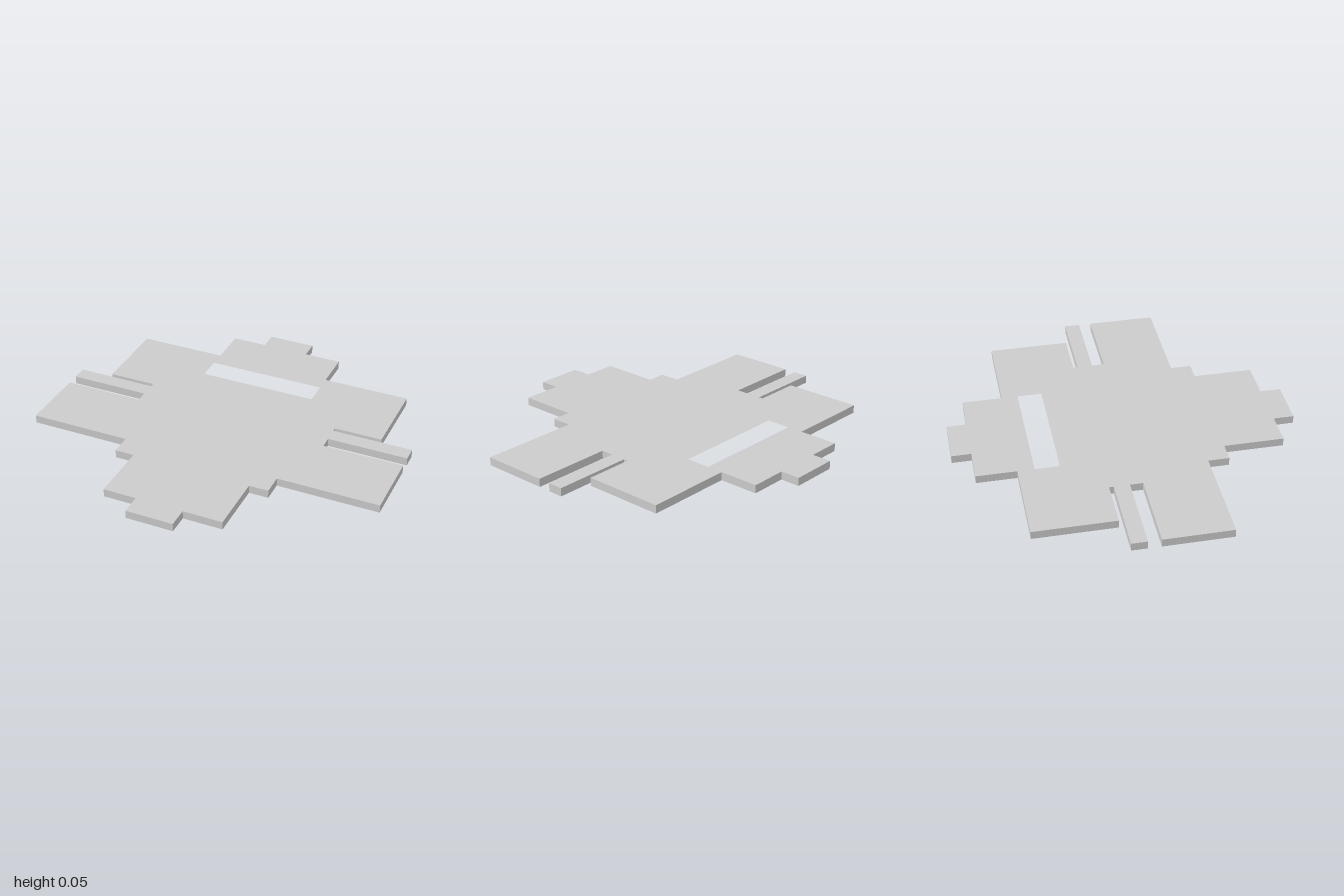
import * as THREE from 'three';

const THICKNESS = 0.045;

export function createModel() {
  const model = new THREE.Group();
  model.name = 'slottedPanel';

  // One side of the symmetric outline as [x, z], from back to front
  const side = [
    [0.333, -0.835], [0.333, -0.615], [0.82, -0.615], [0.82, -0.17],
    // narrow slot, finger, wide slot
    [0.555, -0.17], [0.555, -0.145], [1, -0.145], [1, -0.06],
    [0.555, -0.06], [0.555, 0.01],
    // front wing, step and nose
    [1, 0.01], [1, 0.385], [0.44, 0.385], [0.44, 0.5],
    [0.333, 0.5], [0.333, 0.83],
  ];
  // End tabs sit slightly off centre
  const frontTab = [[0.115, 0.83], [0.115, 0.943], [-0.148, 0.943], [-0.148, 0.83]];
  const backTab = [[-0.14, -0.835], [-0.14, -0.943], [0.125, -0.943], [0.125, -0.835]];
  const mirrored = side.map(([x, z]) => [-x, z]).reverse();

  const toPoints = (list) => list.map(([x, z]) => new THREE.Vector2(x, -z));
  const shape = new THREE.Shape(toPoints([...side, ...frontTab, ...mirrored, ...backTab]));

  // Rectangular window near the back
  shape.holes.push(new THREE.Path(toPoints([
    [-0.333, -0.525], [0.333, -0.525], [0.333, -0.39], [-0.333, -0.39],
  ])));

  // Extrude the outline and lay it flat on the ground
  const geometry = new THREE.ExtrudeGeometry(shape, { depth: THICKNESS, bevelEnabled: false });
  geometry.rotateX(-Math.PI / 2);

  const panel = new THREE.Mesh(geometry, new THREE.MeshStandardMaterial({ color: 0xcccccc }));
  panel.name = 'panel';
  model.add(panel);
  return model;
}
